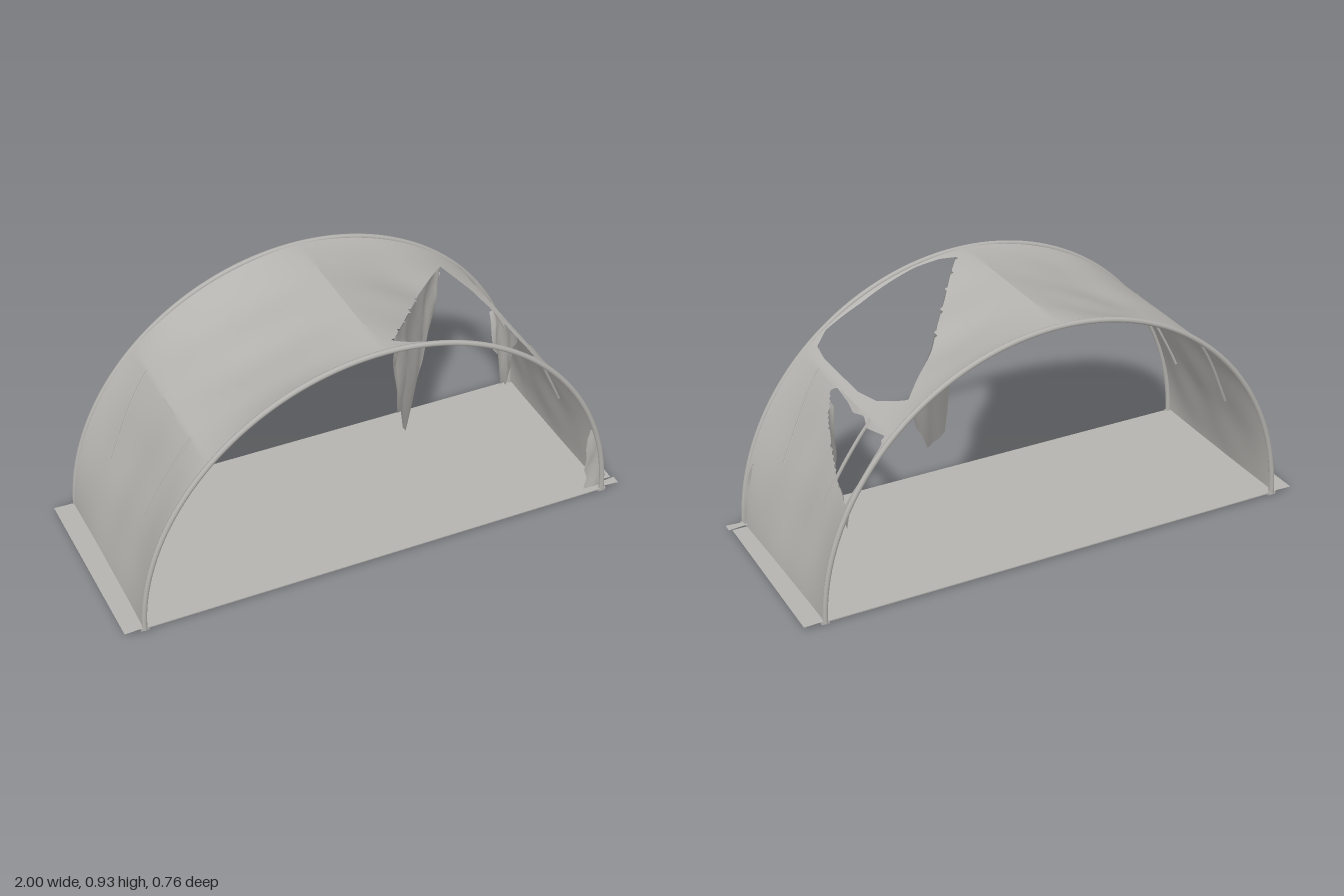
import * as THREE from 'three';
import { toCreasedNormals } from 'three/addons/utils/BufferGeometryUtils.js';

const R = 0.924, HALF = 0.372;

// Point on the sagging canvas: angle a around the arch (0 = +x ground), depth z
function canvasPoint(a, z) {
  const panel = Math.min(3.9999, Math.max(0, a / (Math.PI / 4)));
  const t = panel % 1;
  const depth = panel < 1 || panel > 3 ? 0.045 : 0.062;
  const taut = 1 - Math.pow(Math.min(1, Math.abs(z) / HALF), 2.5);
  const bulge = Math.sin(Math.PI * t);
  const wrinkle = 0.006 * Math.sin(8 * a + 15 * z) * Math.sin(5 * a - 9 * z + 1);
  const r = R - taut * bulge * (depth + wrinkle);
  return new THREE.Vector3(r * Math.cos(a), r * Math.sin(a), z);
}
const angleFromX = (x) => Math.acos(x / 0.89);
const angleFromY = (y) => Math.asin(y / 0.895);

// Tear outlines as [arc length, z]
const tears = [
  [[0.055, 0.315], [0.2, 0.13], [0.36, -0.07], [0.53, -0.275], [0.56, -0.22], [0.59, -0.15],
    [0.605, -0.04], [0.605, 0.24], [0.595, 0.32], [0.55, 0.35], [0.42, 0.34], [0.2, 0.35], [0.11, 0.34]]
    .map(([x, z]) => [R * angleFromX(x), z]),
  [[0.61, 0.09], [0.63, 0.06], [0.622, -0.05], [0.613, -0.1], [0.627, -0.17], [0.61, -0.22], [0.628, -0.33],
    [0.6, -0.35], [0.5, -0.355], [0.41, -0.33], [0.44, -0.2], [0.49, -0.08], [0.54, 0]]
    .map(([y, z]) => [R * angleFromY(y), z]),
  [[0.0, 0.328], [0.08, 0.33], [0.2, 0.335], [0.28, 0.342], [0.2, 0.352], [0.1, 0.348], [0.0, 0.352]]
    .map(([y, z]) => [R * angleFromY(y), z]),
];

function inside(poly, x, y) {
  let hit = false;
  poly.forEach(([ax, ay], i) => {
    const [bx, by] = poly[(i + 1) % poly.length];
    if ((ay > y) !== (by > y) && x < ax + ((bx - ax) * (y - ay)) / (by - ay)) hit = !hit;
  });
  return hit;
}

function nearestOnEdge(poly, x, y) {
  let best = { d: Infinity };
  poly.forEach(([ax, ay], i) => {
    const [bx, by] = poly[(i + 1) % poly.length];
    const dx = bx - ax, dy = by - ay;
    const t = Math.min(1, Math.max(0, ((x - ax) * dx + (y - ay) * dy) / (dx * dx + dy * dy)));
    const px = ax + dx * t, py = ay + dy * t, d = Math.hypot(px - x, py - y);
    if (d < best.d) best = { d, px, py };
  });
  return best;
}

function indexed(positions, index) {
  const g = new THREE.BufferGeometry();
  g.setAttribute('position', new THREE.Float32BufferAttribute(positions, 3));
  g.setIndex(index);
  return g;
}

// Canvas grid whose vertices snap to the tear edges; faces within a tear are left out
function canvasGeometry() {
  const NU = 208, NV = 54, L = R * Math.PI, cell = L / NU;
  const flat = [], pos = [], index = [];
  for (let i = 0; i <= NU; i++) {
    for (let j = 0; j <= NV; j++) {
      let s = (i / NU) * L, z = -HALF + (2 * HALF * j) / NV;
      for (const tear of tears) {
        const n = nearestOnEdge(tear, s, z);
        if (n.d < cell * 0.6) { s = n.px; z = n.py; }
      }
      flat.push([s, z]);
      pos.push(...canvasPoint(s / R, z).toArray());
    }
  }
  const face = (...f) => {
    const cs = f.reduce((k, v) => k + flat[v][0], 0) / 3, cz = f.reduce((k, v) => k + flat[v][1], 0) / 3;
    if (!tears.some((t) => inside(t, cs, cz))) index.push(...f);
  };
  for (let i = 0; i < NU; i++) {
    for (let j = 0; j < NV; j++) {
      const a = i * (NV + 1) + j, b = a + NV + 1;
      face(a, a + 1, b);
      face(b, a + 1, b + 1);
    }
  }
  return toCreasedNormals(indexed(pos, index), 0.45);
}

// Torn cloth spanned between a hinge line and a ragged lower edge
function flapGeometry(pairs, fold) {
  const N = 8, pos = [], index = [];
  pairs.forEach(([top, tip], i) => {
    for (let k = 0; k <= N; k++) {
      const t = k / N, p = top.clone().lerp(tip, t);
      const w = fold * Math.sin(Math.PI * t) * Math.sin(i * 1.7 + 2 * t);
      pos.push(p.x + w, p.y, p.z + w);
      if (i && k) {
        const b = i * (N + 1) + k, a = b - N - 1;
        index.push(a - 1, a, b - 1, b - 1, a, b);
      }
    }
  });
  const g = indexed(pos, index);
  g.computeVertexNormals();
  return g;
}

export function createModel() {
  const model = new THREE.Group();
  const cloth = new THREE.MeshStandardMaterial({ color: 0xb5b3af, side: THREE.DoubleSide });
  cloth.name = 'grey canvas';
  const add = (name, geometry, x = 0, y = 0, z = 0) => {
    const m = new THREE.Mesh(geometry, cloth);
    m.name = name;
    m.position.set(x, y, z);
    model.add(m);
    return m;
  };

  add('canvas', canvasGeometry());
  add('floor', new THREE.BoxGeometry(1.84, 0.004, HALF * 2), 0, 0.008, 0);

  // End hoops with small foot plates
  for (const z of [-HALF + 0.004, HALF - 0.004]) {
    add('hoop', new THREE.TorusGeometry(0.918, 0.01, 8, 80, Math.PI), 0, 0.002, z);
    for (const side of [-1, 1]) add('hoopFoot', new THREE.BoxGeometry(0.03, 0.012, 0.012), side * 0.918, 0.006, z);
  }

  // Ridge and side purlins
  for (const a of [0.25, 0.5, 0.75]) {
    const rod = new THREE.CylinderGeometry(0.005, 0.005, HALF * 2, 8).rotateX(Math.PI / 2);
    add('purlin', rod, 0.916 * Math.cos(a * Math.PI), 0.916 * Math.sin(a * Math.PI), 0);
  }

  // Bracing straps lying in the side panels
  for (const side of [0, 1]) {
    for (const dir of [-1, 1]) {
      const pts = [];
      for (let i = 0; i <= 10; i++) {
        const a = THREE.MathUtils.lerp(0.785, 0.385, i / 10);
        const p = canvasPoint(side ? Math.PI - a : a, dir * (0.213 - 0.004 * i));
        pts.push(p.multiply(new THREE.Vector3(0.998, 0.998, 1)));
      }
      add('strap', new THREE.TubeGeometry(new THREE.CatmullRomCurve3(pts), 24, 0.0065, 6));
    }
  }

  // Large roof flap hanging straight below its tear: [x, lower edge y]
  const roof = [[0.055, 0.82], [0.075, 0.74], [0.1, 0.66], [0.11, 0.54], [0.15, 0.5], [0.18, 0.39], [0.22, 0.33],
    [0.3, 0.37], [0.36, 0.41], [0.41, 0.43], [0.45, 0.52], [0.48, 0.57], [0.5, 0.66], [0.53, 0.7]];
  add('roofFlap', flapGeometry(roof.map(([x, y]) => {
    const z = 0.315 - ((x - 0.055) / 0.475) * 0.59;
    const top = canvasPoint(angleFromX(x), z);
    return [top, new THREE.Vector3(top.x, y, z)];
  }), 0.012));

  // Side flap hanging from the lower edge of the side tear: [z, hinge y, lower edge y]
  const sideRows = [[0.09, 0.61, 0.56], [0.05, 0.577, 0.44], [0, 0.54, 0.37], [-0.05, 0.508, 0.27], [-0.1, 0.482, 0.25],
    [-0.14, 0.465, 0.2], [-0.2, 0.44, 0.3], [-0.26, 0.426, 0.28], [-0.3, 0.417, 0.34], [-0.33, 0.41, 0.4]];
  add('sideFlap', flapGeometry(sideRows.map(([z, y, low]) => {
    const top = canvasPoint(angleFromY(y), z);
    return [top, new THREE.Vector3(top.x - 0.015, low, z)];
  }), 0.01));

  // Narrow strip curled inward from the corner slit: [y, inward reach]
  const slit = [[0.01, 0.07], [0.06, 0.055], [0.1, 0.065], [0.15, 0.05], [0.2, 0.045], [0.25, 0.03], [0.28, 0.005]];
  add('slitFlap', flapGeometry(slit.map(([y, reach]) => {
    const top = canvasPoint(angleFromY(y), 0.35);
    return [top, new THREE.Vector3(top.x - reach, y, 0.345)];
  }), 0.006));

  // Ground skirts; the left one is torn near the front corner
  const skirt = (name, outline) => {
    const g = new THREE.ShapeGeometry(new THREE.Shape(outline.map(([x, z]) => new THREE.Vector2(x, -z))));
    add(name, g.rotateX(-Math.PI / 2), 0, 0.013, 0);
  };
  skirt('rightSkirt', [[-0.915, 0.372], [-0.915, -0.372], [-1, -0.375], [-0.995, 0.375]]);
  skirt('leftSkirt', [[0.915, 0.33], [0.98, 0.33], [1, -0.375], [0.915, -0.372]]);
  skirt('tornSkirtCorner', [[0.87, 0.345], [0.87, 0.36], [0.99, 0.37], [0.992, 0.335]]);
  return model;
}
